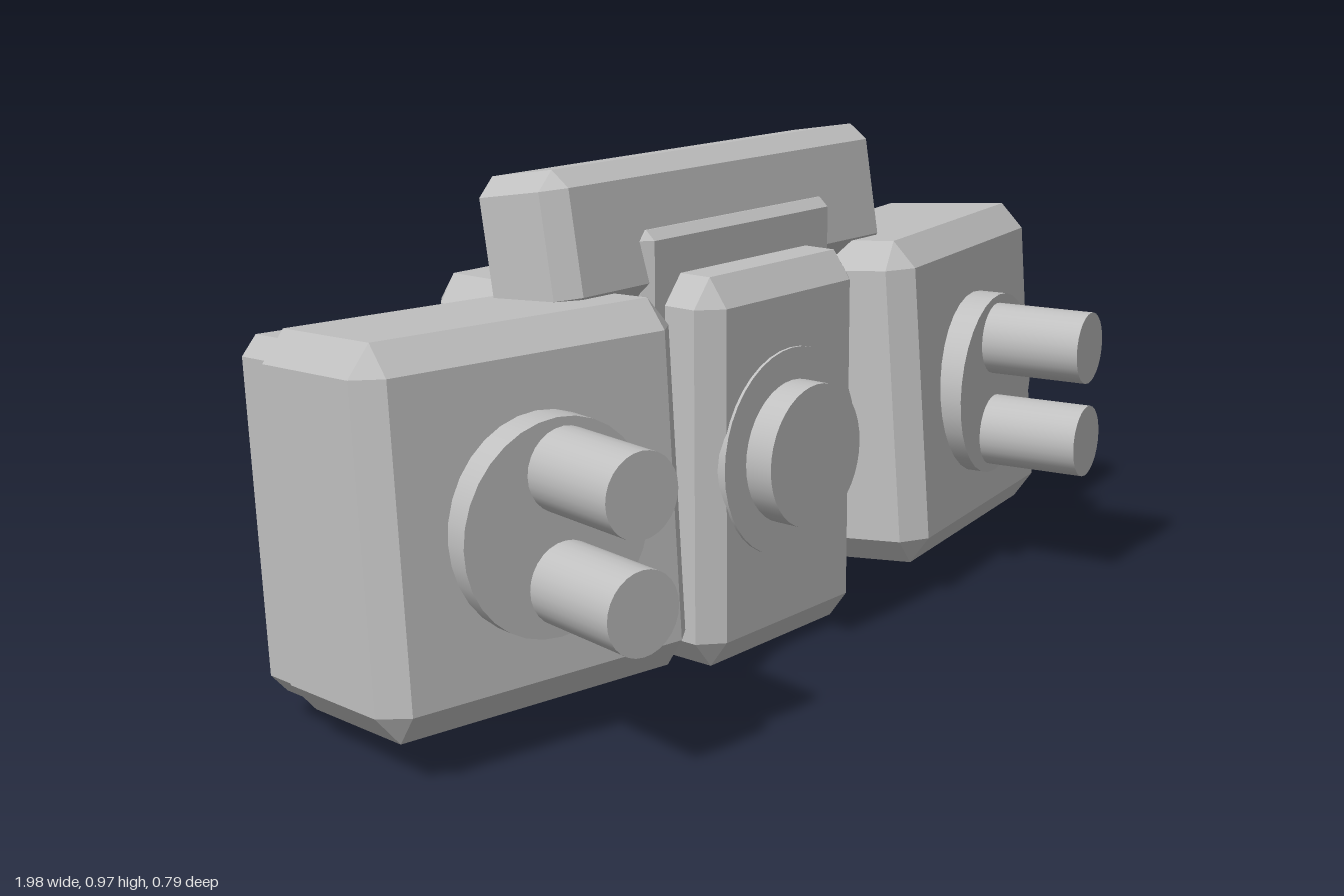
import * as THREE from 'three';
import { ConvexGeometry } from 'three/addons/geometries/ConvexGeometry.js';

// Box with chamfered edges; b = chamfer inset along x, y and z
function chamferBox(w, h, d, [bx, by, bz]) {
  const points = [];
  const X = w / 2, Y = h / 2, Z = d / 2;
  for (const sx of [-1, 1]) for (const sy of [-1, 1]) for (const sz of [-1, 1]) {
    points.push(
      new THREE.Vector3(sx * X, sy * (Y - by), sz * (Z - bz)),
      new THREE.Vector3(sx * (X - bx), sy * Y, sz * (Z - bz)),
      new THREE.Vector3(sx * (X - bx), sy * (Y - by), sz * Z));
  }
  return new ConvexGeometry(points);
}

// Cylinder along z running from z0 to z1
function zCylinder(r, z0, z1, sides) {
  return new THREE.CylinderGeometry(r, r, z1 - z0, sides)
    .rotateX(Math.PI / 2).translate(0, 0, (z0 + z1) / 2);
}

export function createModel() {
  const model = new THREE.Group();
  model.name = 'controlUnit';
  const grey = new THREE.MeshStandardMaterial({ color: 0xc0c0c0 });
  grey.name = 'plain grey';

  function add(parent, name, geometry, x, y, z, tilt = 0) {
    const mesh = new THREE.Mesh(geometry, grey);
    mesh.name = name;
    mesh.position.set(x, y, z);
    mesh.rotation.x = tilt;
    parent.add(mesh);
    return mesh;
  }

  // Centre column with its dial
  add(model, 'centreBlock', chamferBox(0.47, 0.755, 0.27, [0.045, 0.055, 0.04]), 0, 0.3785, -0.007);
  add(model, 'dialRing', zCylinder(0.203, 0.1, 0.134, 40), 0, 0.395, 0);
  add(model, 'dial', zCylinder(0.14, 0.1, 0.193, 40), 0, 0.395, 0);

  // Rear housing and the bar linking it to the pods
  add(model, 'rearHousing', chamferBox(0.9, 0.73, 0.265, [0.035, 0.052, 0.035]), 0, 0.38, -0.2525);
  add(model, 'crossBar', chamferBox(0.74, 0.135, 0.16, [0.02, 0.02, 0.02]), 0, 0.63, -0.08);

  // Tilted top bar with a small front plate
  add(model, 'topBar', chamferBox(0.97, 0.265, 0.22, [0.04, 0.035, 0.035]), 0, 0.825, -0.114, -0.166);
  add(model, 'frontPlate', chamferBox(0.56, 0.2, 0.1, [0.018, 0.018, 0.02]), 0, 0.743, -0.032);

  // Side pods, turned outwards
  for (const side of [-1, 1]) {
    const pod = new THREE.Group();
    pod.name = side > 0 ? 'leftPod' : 'rightPod';
    pod.position.set(side * 0.638, 0.402, -0.06);
    pod.rotation.y = side * 0.175;
    model.add(pod);

    const shell = new THREE.Group();
    shell.name = 'podShell';
    shell.rotation.x = -0.075;
    pod.add(shell);
    add(shell, 'podBody', chamferBox(0.66, 0.675, 0.365, [0.045, 0.055, 0.045]), 0, 0, 0);
    add(shell, 'podBackPlate', chamferBox(0.62, 0.645, 0.2, [0.03, 0.035, 0.03]), 0, -0.005, -0.175);

    add(pod, 'podDisc', zCylinder(0.193, 0.1, 0.228, 32), 0, 0.006, 0);
    for (const y of [-0.093, 0.107]) {
      add(pod, 'podPeg', zCylinder(0.075, 0.2, 0.438, 28), side * -0.012, y, 0);
    }
  }
  return model;
}
